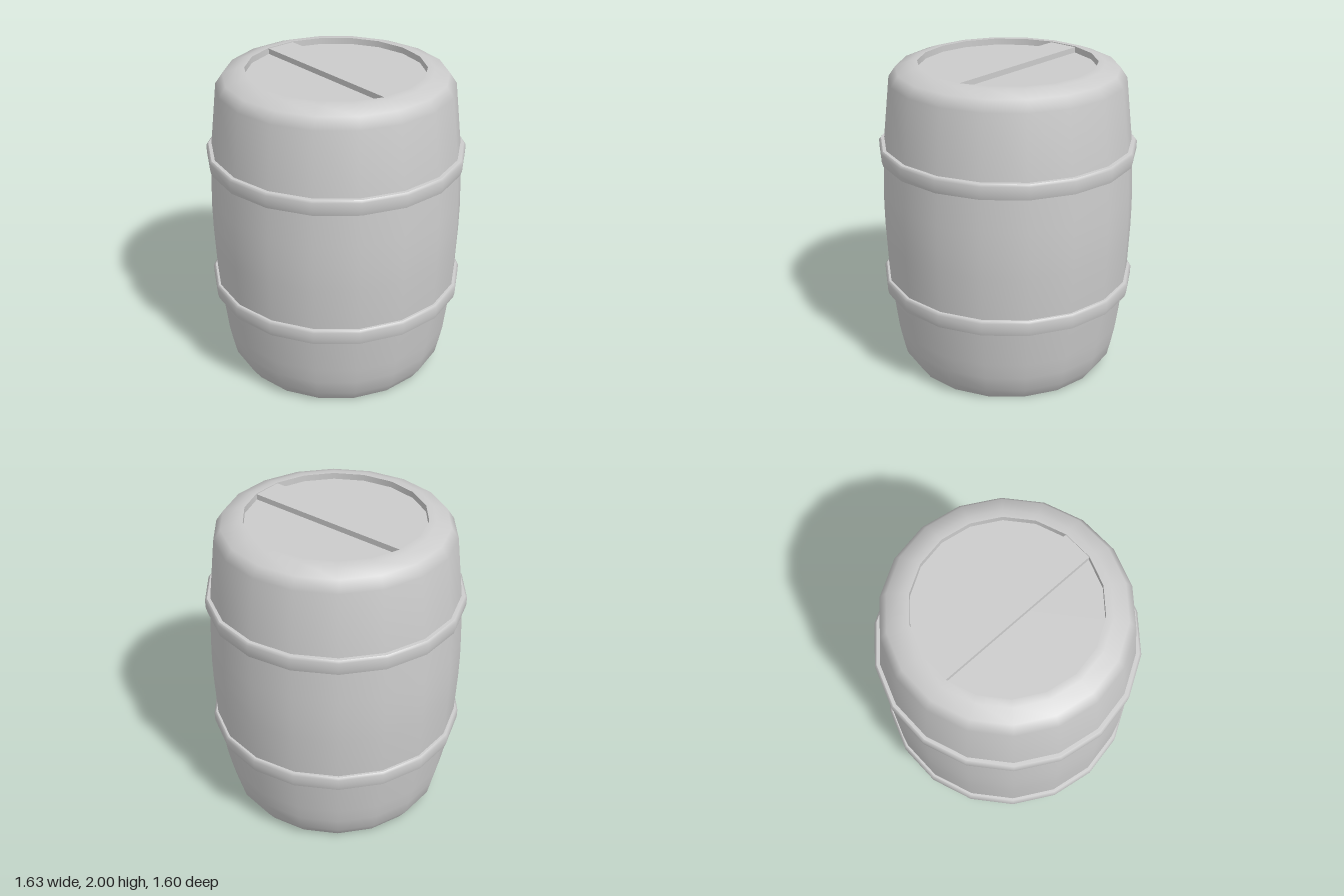
import * as THREE from 'three';

const SIDES = 18;
const RIM = 0.555;      // radius of the lid recess
const FLOOR = 1.96;     // height of the lid surface

export function createModel() {
  const group = new THREE.Group();
  const material = new THREE.MeshStandardMaterial({ color: 0xcccccc });

  const add = (name, geometry) => {
    const mesh = new THREE.Mesh(geometry, material);
    mesh.name = name;
    group.add(mesh);
    return mesh;
  };

  // Revolved part with a corner on the x axis
  const turned = (name, profile) => add(name, new THREE.LatheGeometry(
    profile.map(([r, y]) => new THREE.Vector2(r, y)), SIDES, Math.PI / 2));

  // Bulging wall, rounded over at the top and bottom
  turned('barrelBody', [
    [0.645, 0], [0.7, 0.08], [0.723, 0.18], [0.745, 0.29], [0.775, 0.54],
    [0.787, 0.63], [0.798, 0.9], [0.8, 1.05], [0.796, 1.2], [0.787, 1.4],
    [0.78, 1.5], [0.735, 1.9], [0.69, 1.965], [0.6, 1.998], [RIM, 2],
  ]);
  turned('barrelBase', [[0, 0], [0.645, 0]]);

  // Sunken lid
  turned('lidRecessWall', [[RIM, 2], [RIM, FLOOR]]);
  turned('lid', [[RIM, FLOOR], [0, FLOOR]]);

  // Grip bar, spanning two opposite sides of the recess
  const height = 1.995 - FLOOR;
  const half = Math.PI / SIDES;
  const bar = add('lidBar', new THREE.BoxGeometry(
    2 * RIM * Math.cos(half), height, 2 * RIM * Math.sin(half)));
  bar.position.y = FLOOR + height / 2;
  bar.rotation.y = -THREE.MathUtils.degToRad(50);

  // Hoops: smooth outer face with a bevelled upper edge, flat undersides
  for (const [name, y] of [['lowerHoop', 0.53], ['upperHoop', 1.408]]) {
    turned(name + 'Underside', [[0.76, y], [0.803, y]]);
    turned(name, [[0.803, y], [0.811, y + 0.03], [0.813, y + 0.083], [0.8, y + 0.097]]);
    turned(name + 'Top', [[0.8, y + 0.097], [0.76, y + 0.099]]);
  }

  return group;
}
